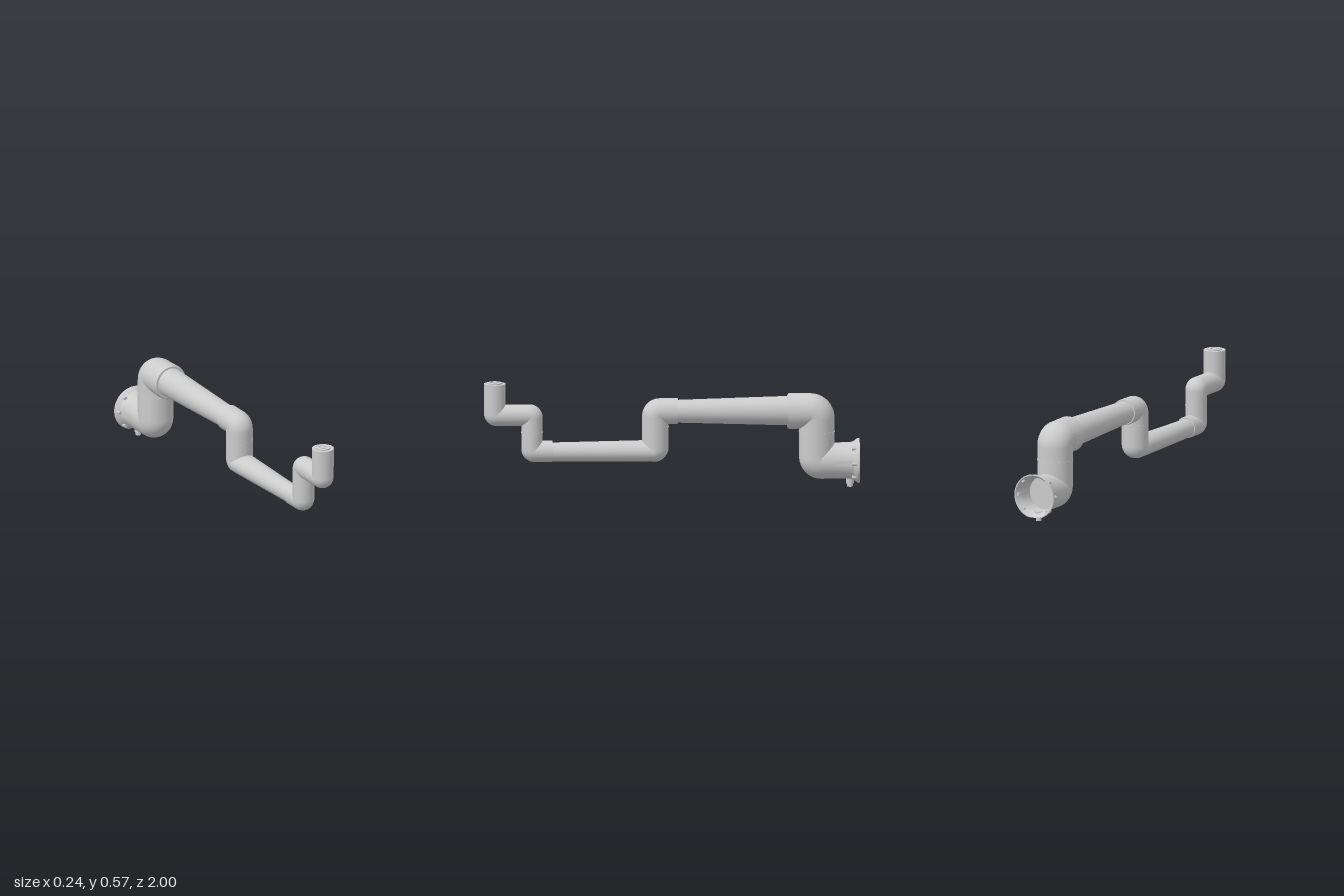
import * as THREE from 'three';
import { toCreasedNormals } from 'three/addons/utils/BufferGeometryUtils.js';

const UP = Math.PI / 2;
const SIDES = 48;
const grey = new THREE.MeshStandardMaterial({ color: 0xcccccc });
const greyDouble = new THREE.MeshStandardMaterial({ color: 0xcccccc, side: THREE.DoubleSide });

// A ring lies across the arm's path in the y-z plane; angle 0 heads to +z, UP heads to +y.
const ring = (z, y, angle, rx, ry = rx) => ({ z, y, angle, rx, ry });

// Rings around a right-angle elbow at joint (z, y), blending from radii r0 to r1.
function elbow(z, y, a0, a1, bend, r0, r1 = r0, steps = 14) {
  const rings = [];
  const blend = (p, q, t) => p + (q - p) * t;
  for (let i = 0; i <= steps; i++) {
    const t = i / steps;
    const u = 1 - Math.cos(t * UP);
    const v = 1 - Math.sin(t * UP);
    rings.push(ring(
      z + bend * (Math.cos(a1) * u - Math.cos(a0) * v),
      y + bend * (Math.sin(a1) * u - Math.sin(a0) * v),
      blend(a0, a1, t), blend(r0[0], r1[0], t), blend(r0[1], r1[1], t)));
  }
  return rings;
}

// Smooth skin over the rings, closed with a flat cap at both ends.
function loft(rings) {
  const pos = [], nor = [], idx = [];
  const addRing = (r, capSign) => {
    const s = Math.sin(r.angle), c = Math.cos(r.angle);
    for (let j = 0; j < SIDES; j++) {
      const p = (j / SIDES) * Math.PI * 2, cp = Math.cos(p), sp = Math.sin(p);
      pos.push(r.rx * cp, r.y + c * r.ry * sp, r.z - s * r.ry * sp);
      const n = capSign
        ? new THREE.Vector3(0, s * capSign, c * capSign)
        : new THREE.Vector3(cp / r.rx, c * sp / r.ry, -s * sp / r.ry).normalize();
      nor.push(n.x, n.y, n.z);
    }
  };
  rings.forEach((r) => addRing(r, 0));
  for (let i = 0; i < rings.length - 1; i++) {
    for (let j = 0; j < SIDES; j++) {
      const k = (j + 1) % SIDES, a = i * SIDES, b = a + SIDES;
      idx.push(a + j, a + k, b + k, a + j, b + k, b + j);
    }
  }
  for (const [r, sign] of [[rings[0], -1], [rings[rings.length - 1], 1]]) {
    const start = pos.length / 3;
    addRing(r, sign);
    for (let j = 1; j < SIDES - 1; j++) {
      if (sign > 0) idx.push(start, start + j, start + j + 1);
      else idx.push(start, start + j + 1, start + j);
    }
  }
  const geo = new THREE.BufferGeometry();
  geo.setAttribute('position', new THREE.Float32BufferAttribute(pos, 3));
  geo.setAttribute('normal', new THREE.Float32BufferAttribute(nor, 3));
  geo.setIndex(idx);
  return geo;
}

export function createModel() {
  const group = new THREE.Group();
  const add = (name, geo, x = 0, y = 0, z = 0, mat = grey) => {
    const mesh = new THREE.Mesh(geo, mat);
    mesh.name = name;
    mesh.position.set(x, y, z);
    group.add(mesh);
    return mesh;
  };

  // Hollow mounting flange, open to the back, with a flat cut underneath
  const profile = [[0.097, 0.87], [0.097, 0.945], [0.103, 0.968], [0.12, 0.99], [0.12, 1],
    [0.114, 1], [0.097, 0.972], [0.09, 0.945], [0.09, 0.87]];
  let flange = new THREE.LatheGeometry(profile.map(([r, d]) => new THREE.Vector2(r, d)), 64);
  flange.rotateX(-UP);
  const fp = flange.attributes.position;
  for (let i = 0; i < fp.count; i++) fp.setY(i, Math.max(fp.getY(i), -0.115));
  flange = toCreasedNormals(flange, 0.4);
  add('mountingFlange', flange, 0, 0.14, 0, greyDouble);

  // Bolt bosses on both sides of the flange
  for (const side of [-1, 1]) {
    for (const a of [-0.82, 0, 0.82]) {
      const boss = new THREE.CylinderGeometry(0.01, 0.01, 0.034, 16).rotateX(UP);
      add('flangeBolt', boss, side * Math.cos(a) * 0.107, 0.14 + Math.sin(a) * 0.107, -0.975);
    }
  }

  // Cable connector below the base
  add('connectorCollar', new THREE.CylinderGeometry(0.021, 0.021, 0.035, 24), 0, 0.0345, -0.95);
  add('cableConnector', new THREE.CylinderGeometry(0.015, 0.015, 0.03, 24), 0, 0.015, -0.95);

  // Base and shoulder: two large elbows
  add('shoulderHousing', loft([
    ring(-0.885, 0.14, 0, 0.0965),
    ...elbow(-0.773, 0.14, 0, UP, 0.022, [0.097, 0.097], [0.095, 0.094]),
    ...elbow(-0.773, 0.41, UP, 0, 0.035, [0.095, 0.094]),
    ring(-0.66, 0.41, 0, 0.094),
  ]));
  add('shoulderCollar', loft([
    ring(-0.685, 0.41, 0, 0.095),
    ring(-0.625, 0.41, 0, 0.096),
    ring(-0.617, 0.41, 0, 0.09),
  ]));

  // Tapered upper arm
  add('upperArm', loft([ring(-0.64, 0.412, 0, 0.079), ring(0, 0.412, 0, 0.06)]));

  // Middle joint running on into the tapered forearm
  add('elbowHousing', loft([
    ring(-0.033, 0.413, 0, 0.067),
    ring(-0.028, 0.413, 0, 0.07),
    ...elbow(0.087, 0.413, 0, -UP, 0.025, [0.07, 0.069], [0.071, 0.071]),
    ...elbow(0.087, 0.198, -UP, 0, 0.015, [0.071, 0.071], [0.07, 0.057]),
    ring(0.16, 0.198, 0, 0.069, 0.057),
    ring(0.65, 0.196, 0, 0.05, 0.05),
  ]));

  // Wrist: three small elbows ending in an upright tool head
  const w = [0.058, 0.057];
  add('wristHousing', loft([
    ring(0.634, 0.2, 0, 0.055),
    ring(0.639, 0.2, 0, 0.058),
    ...elbow(0.744, 0.2, 0, UP, 0.012, w),
    ...elbow(0.744, 0.396, UP, 0, 0.012, w),
    ...elbow(0.942, 0.396, 0, UP, 0.008, w),
    ring(0.942, 0.567, UP, 0.059, 0.058),
  ]));

  // Thin seam bands around the upright joints
  for (const [y, z, r] of [[0.3, -0.773, 0.0965], [0.33, 0.087, 0.072], [0.303, 0.744, 0.0585]]) {
    add('seamBand', new THREE.CylinderGeometry(r, r, 0.004, SIDES), 0, y, z);
  }

  // Raised tool plate with a sunk centre
  const plate = [[0.04, 0], [0.04, 0.006], [0.024, 0.006], [0.024, 0.002], [0.013, 0.002],
    [0.013, 0.005], [0, 0.005]];
  const plateGeo = new THREE.LatheGeometry(plate.map(([r, h]) => new THREE.Vector2(r, h)), 40);
  add('toolPlate', toCreasedNormals(plateGeo, 0.5), 0, 0.567, 0.942, greyDouble);

  // Button on the front of the tool head
  add('toolButton', new THREE.CylinderGeometry(0.008, 0.008, 0.006, 20).rotateX(UP), 0, 0.527, 0.997);

  return group;
}
